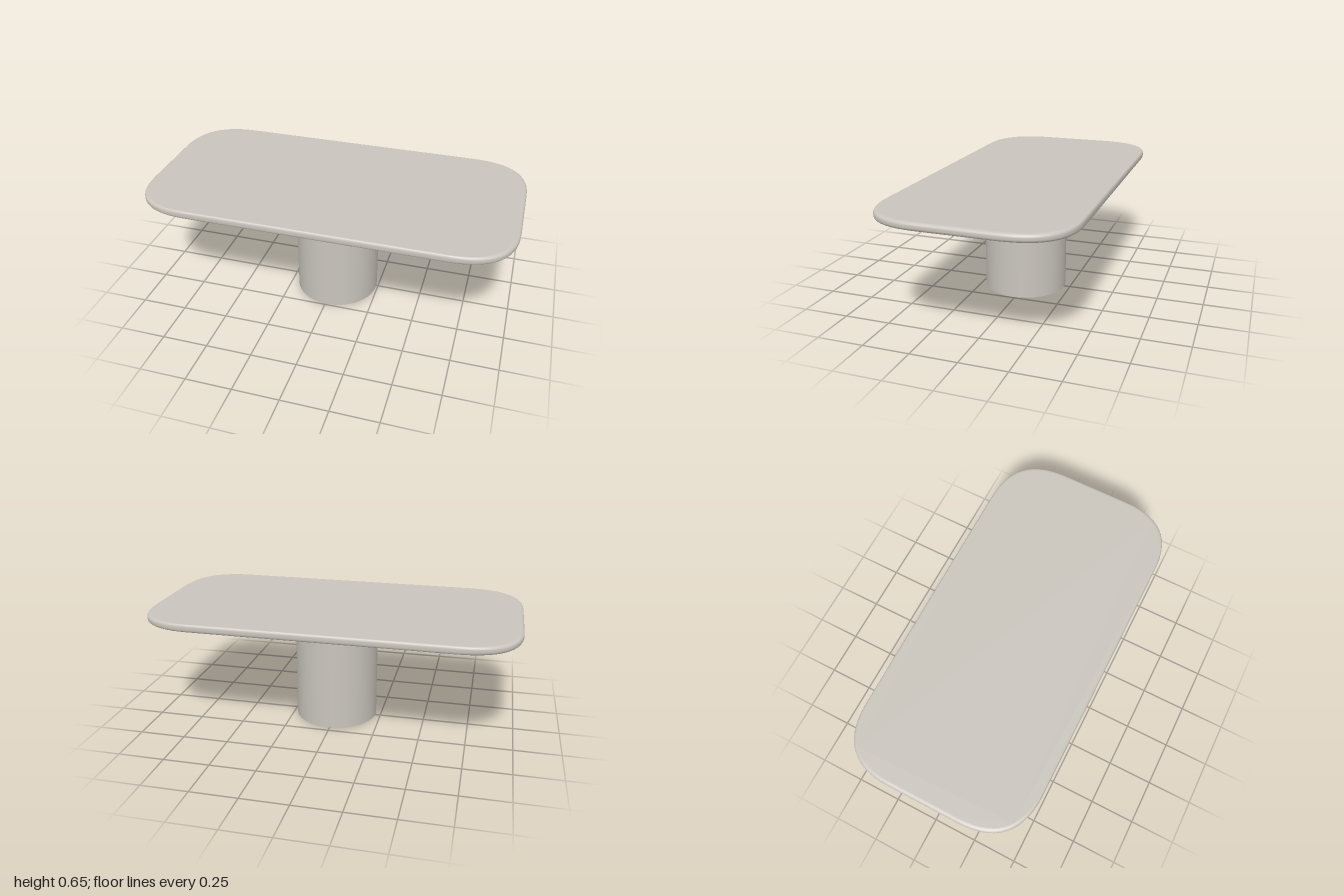
import * as THREE from 'three';

const HALF_X = 1, HALF_Z = 0.505, CORNER = 0.31;
const BOTTOM = 0.61, TOP = 0.652, ROUND_Y = 0.017, INSET = 0.02;

// Rectangle with soft, curved corners, scaled towards the centre
function outline(scale) {
  const x = HALF_X * scale, z = HALF_Z * scale, c = CORNER * scale;
  const s = new THREE.Shape();
  s.moveTo(x, -z + c);
  s.lineTo(x, z - c);
  s.quadraticCurveTo(x, z, x - c, z);
  s.lineTo(-x + c, z);
  s.quadraticCurveTo(-x, z, -x, z - c);
  s.lineTo(-x, -z + c);
  s.quadraticCurveTo(-x, -z, -x + c, -z);
  s.lineTo(x - c, -z);
  s.quadraticCurveTo(x, -z, x, -z + c);
  return s;
}

// Rounded edge band, lofted through rings from bottom to top
function rimGeometry() {
  const rings = [];
  const steps = 6;
  for (let i = 0; i <= steps; i++) {
    const a = (1 - i / steps) * Math.PI / 2;
    rings.push([BOTTOM + ROUND_Y * (1 - Math.sin(a)), 1 - INSET * (1 - Math.cos(a))]);
  }
  for (let i = 0; i <= steps; i++) {
    const a = (i / steps) * Math.PI / 2;
    rings.push([TOP - ROUND_Y * (1 - Math.sin(a)), 1 - INSET * (1 - Math.cos(a))]);
  }
  const positions = [], index = [];
  let n = 0;
  for (const [y, scale] of rings) {
    const pts = outline(scale).getPoints(14).slice(0, -1);
    n = pts.length;
    for (const p of pts) positions.push(p.x, y, -p.y);
  }
  for (let i = 0; i < rings.length - 1; i++) {
    for (let j = 0; j < n; j++) {
      const a = i * n + j, b = i * n + (j + 1) % n;
      index.push(a, b, a + n, b, b + n, a + n);
    }
  }
  const g = new THREE.BufferGeometry();
  g.setAttribute('position', new THREE.Float32BufferAttribute(positions, 3));
  g.setIndex(index);
  g.computeVertexNormals();
  return g;
}

export function createModel() {
  const model = new THREE.Group();
  model.name = 'pedestalTable';
  const stone = new THREE.MeshStandardMaterial({ color: 0xc9c5bd });
  stone.name = 'warm grey stone';

  const add = (name, geometry, parent) => {
    const mesh = new THREE.Mesh(geometry, stone);
    mesh.name = name;
    parent.add(mesh);
    return mesh;
  };

  // Tabletop: rounded rim closed by two flat faces
  const tabletop = new THREE.Group();
  tabletop.name = 'tabletop';
  model.add(tabletop);
  add('tabletopRim', rimGeometry(), tabletop);
  const face = (name, y, turn) => {
    const g = new THREE.ShapeGeometry(outline(1 - INSET), 14);
    g.rotateX(turn * Math.PI / 2);
    add(name, g, tabletop).position.y = y;
  };
  face('tabletopUpperFace', TOP, -1);
  face('tabletopUnderside', BOTTOM, 1);

  // Round column, slightly off centre
  const height = 0.615;
  const column = add('column', new THREE.CylinderGeometry(0.23, 0.23, height, 64), model);
  column.position.set(0.01, height / 2, 0.013);

  return model;
}
